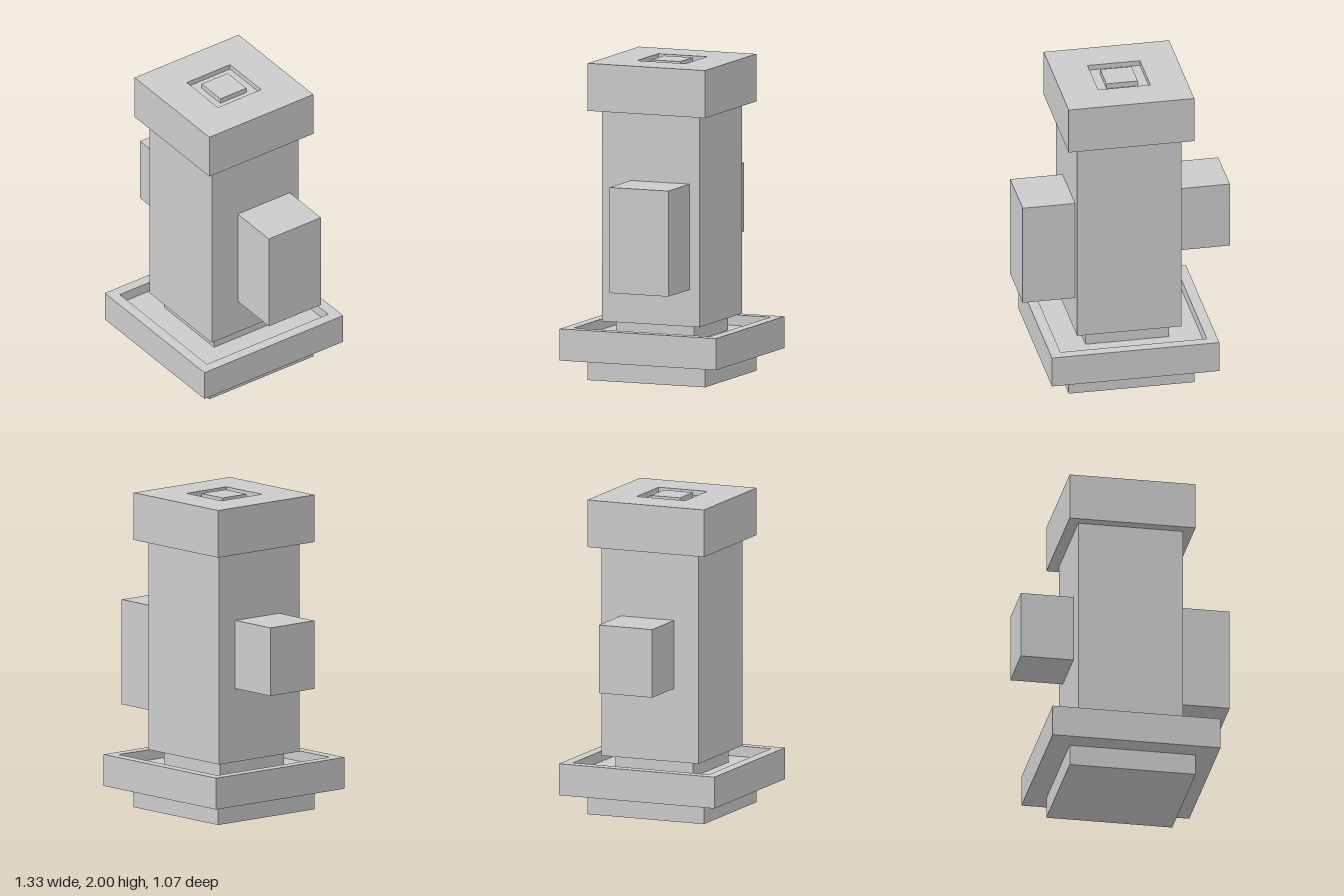
import * as THREE from 'three';

// All sizes are in grid units of 1/30
const U = 1 / 30;

export function createModel() {
  const group = new THREE.Group();
  const material = new THREE.MeshStandardMaterial({ color: 0xcccccc, flatShading: true });

  const add = (name, geometry) => {
    const mesh = new THREE.Mesh(geometry, material);
    mesh.name = name;
    group.add(mesh);
    return mesh;
  };

  // Box given by its limits on each axis
  const box = (name, [x0, x1], [y0, y1], [z0, z1]) =>
    add(name, new THREE.BoxGeometry((x1 - x0) * U, (y1 - y0) * U, (z1 - z0) * U))
      .position.set((x0 + x1) / 2 * U, (y0 + y1) / 2 * U, (z0 + z1) / 2 * U);

  // Square block centred on the axis
  const block = (name, half, y0, y1) => box(name, [-half, half], [y0, y1], [-half, half]);

  const square = (path, h) =>
    path.moveTo(-h, -h).lineTo(h, -h).lineTo(h, h).lineTo(-h, h).closePath();

  // Square slab with a square recess sunk into its top
  const recessedSlab = (name, half, inner, y0, floor, y1) => {
    const shape = square(new THREE.Shape(), half * U);
    shape.holes.push(square(new THREE.Path(), inner * U));
    const geometry = new THREE.ExtrudeGeometry(shape, { depth: (y1 - y0) * U, bevelEnabled: false });
    geometry.rotateX(-Math.PI / 2).translate(0, y0 * U, 0);
    add(name, geometry);
    block(name + 'Floor', inner, y0, floor);
  };

  // Base: foot, tray and the neck standing in it
  block('foot', 12, 0, 4);
  recessedSlab('tray', 16, 14, 4, 8, 10);
  block('neck', 8, 8, 11);

  // Column with a box on each side
  block('column', 10, 11, 51);
  box('leftSideBox', [10, 20], [18, 38], [-8, 4]);
  box('rightSideBox', [-20, -10], [25, 38], [-6, 5]);

  // Cap with a small block in its recess
  recessedSlab('cap', 12, 5, 51, 59, 60);
  block('capButton', 3, 59, 60);

  return group;
}
